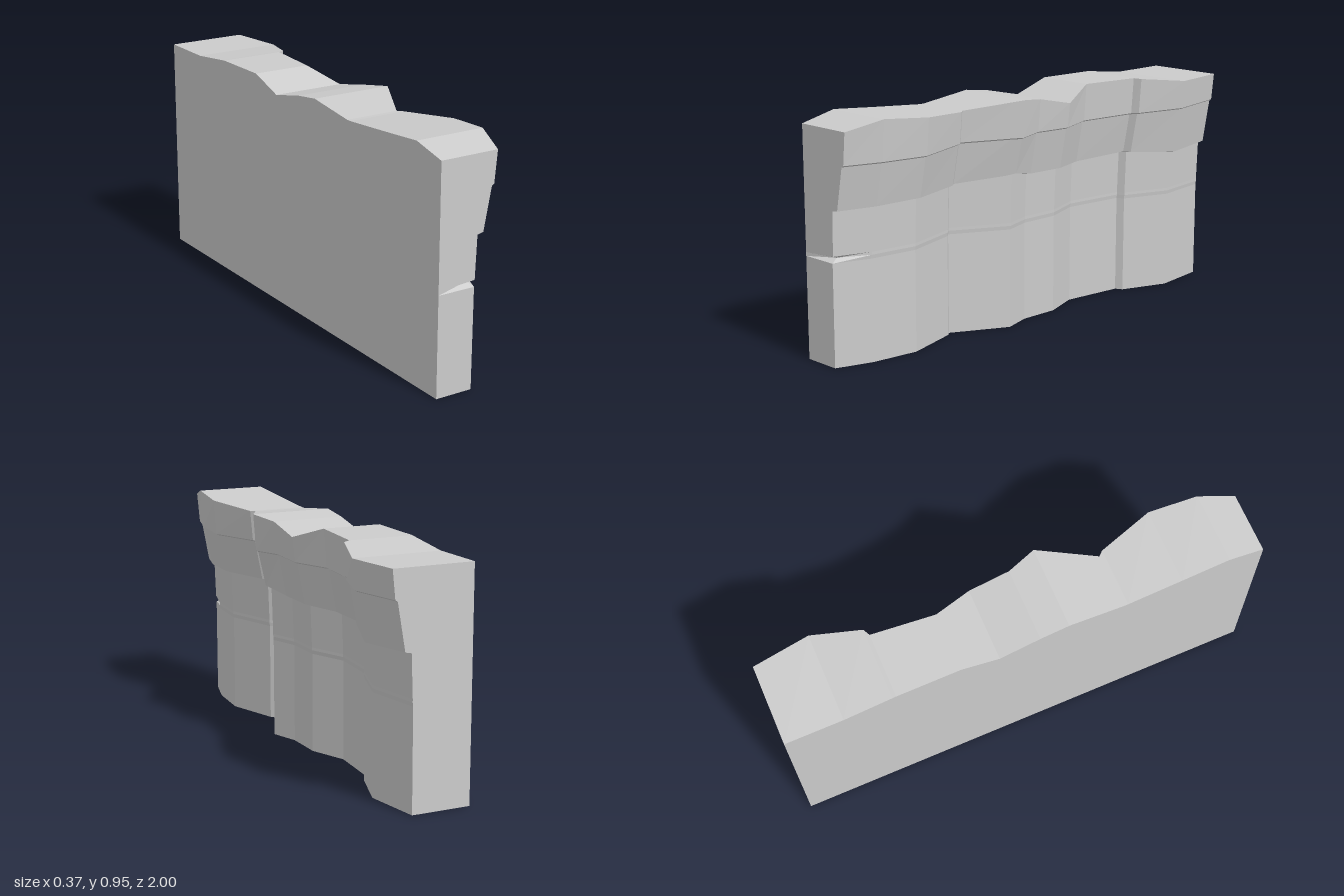
import * as THREE from 'three';

// Plan of the cliff from front to back: z, rim x, rim height, lower ledge height, upper ledge height
const COLUMNS = [
  [1, 0.065, 0.92, 0.615, 0.79],
  [0.85, 0.11, 0.955, 0.617, 0.79],
  [0.65, 0.13, 0.938, 0.62, 0.787],
  [0.42, 0.06, 0.92, 0.62, 0.79],
  [0.4, 0.042, 0.92, 0.62, 0.79],
  [0.21, 0.138, 0.943, 0.638, 0.793],
  [0.17, 0.158, 0.948, 0.645, 0.793],
  [0.05, 0.12, 0.932, 0.62, 0.795],
  [-0.12, 0.12, 0.895, 0.617, 0.79],
  [-0.28, 0.06, 0.948, 0.612, 0.79],
  [-0.545, 0.085, 0.945, 0.62, 0.79],
  [-0.56, 0.115, 0.943, 0.62, 0.793],
  [-0.76, 0.185, 0.92, 0.602, 0.798],
  [-1, 0.15, 0.92, 0.612, 0.803],
];
const BACK = -0.185;

// Rock layers of one column, bottom to top: [y, setback from the rim]
const layers = (top, low, high) => [
  [0, -0.092], [0.41, -0.09], [0.425, -0.088], [0.437, -0.088],
  [low - 0.004, -0.081], [low + 0.001, -0.055],
  [high - 0.003, -0.022], [high + 0.003, -0.012], [top, 0],
];

// Closed cross-section: up the cliff face, then down the flat back
function ring([z, x, top, low, high], i) {
  const rows = layers(top, low, high);
  const face = rows.map(([y, setback], j) => {
    const crack = i === 0 && j === 2 ? 0.03 : 0; // crack cut into the front end
    return [x + setback - crack * 0.5, y, z - crack];
  });
  const back = rows.map(([y]) => [BACK, y, z]).reverse();
  return [...face, ...back];
}

function cliffGeometry() {
  const rings = COLUMNS.map(ring);
  const n = rings[0].length;
  const pos = [];
  const quad = (a, b, c, d) => pos.push(...a, ...b, ...c, ...a, ...c, ...d);

  // Skin between neighbouring cross-sections
  for (let i = 0; i < rings.length - 1; i++) {
    const p = rings[i], q = rings[i + 1];
    for (let k = 0; k < n; k++) {
      const m = (k + 1) % n;
      quad(p[k], q[k], q[m], p[m]);
    }
  }
  // End walls
  const first = rings[0], last = rings[rings.length - 1];
  for (let j = 0; j < n / 2 - 1; j++) {
    quad(first[n - 1 - j], first[j], first[j + 1], first[n - 2 - j]);
    quad(last[j], last[n - 1 - j], last[n - 2 - j], last[j + 1]);
  }
  const geometry = new THREE.BufferGeometry();
  geometry.setAttribute('position', new THREE.Float32BufferAttribute(pos, 3));
  geometry.computeVertexNormals();
  return geometry;
}

export function createModel() {
  const group = new THREE.Group();
  group.name = 'cliffWall';
  const rock = new THREE.MeshStandardMaterial({ color: 0xcccccc, flatShading: true });
  const cliff = new THREE.Mesh(cliffGeometry(), rock);
  cliff.name = 'layeredRock';
  group.add(cliff);
  return group;
}
